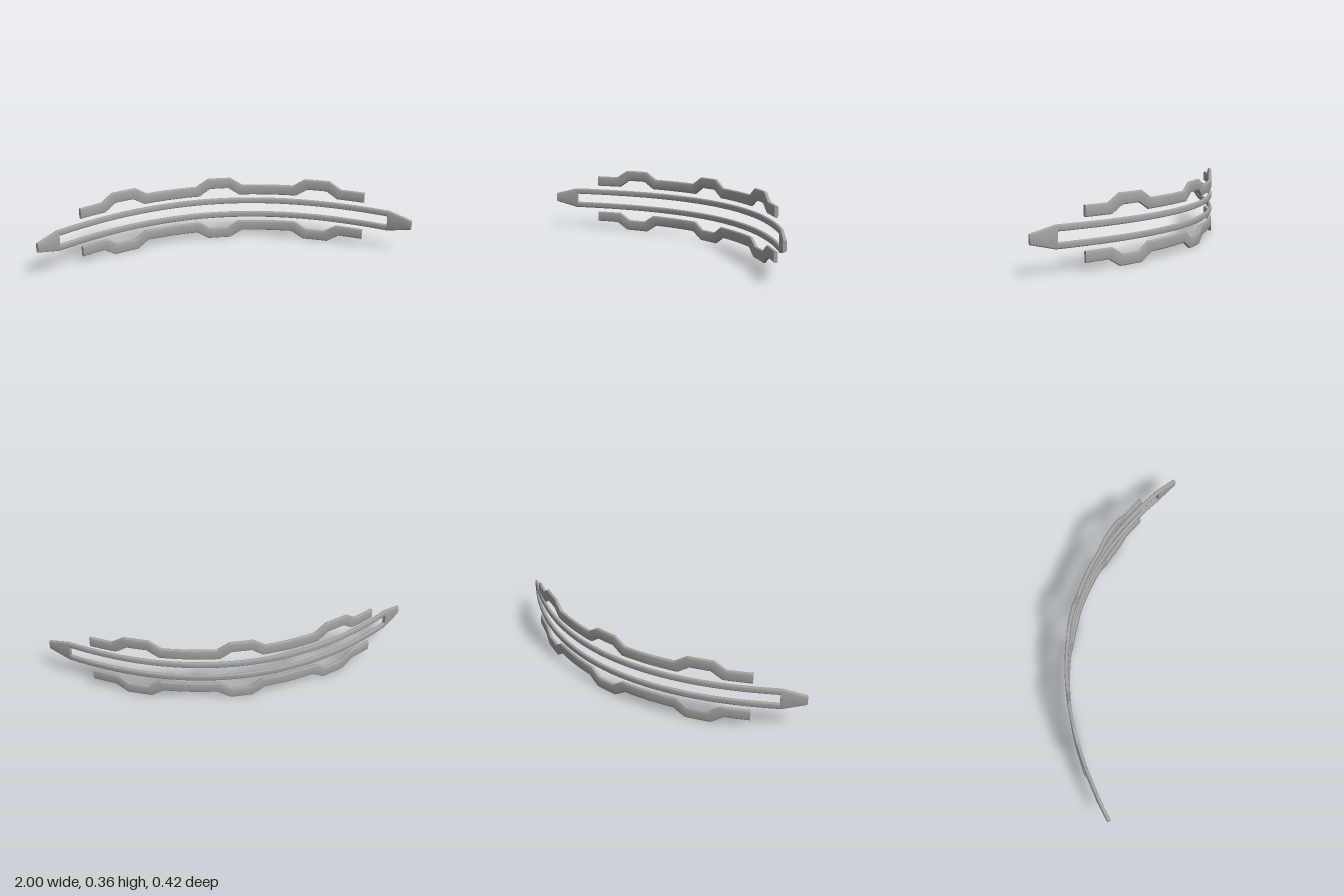
import * as THREE from 'three';
import { toCreasedNormals } from 'three/addons/utils/BufferGeometryUtils.js';

const MID = 0.18;      // height of the mirror plane
const HALF = 0.009;    // half thickness of every bar
const ROUND = 0.007;   // edge rounding

// parabolic arcs in plan: z = start + bend * x * x
const FRAME_ARC = { start: -0.2, bend: 0.407 };
const STEPPED_ARC = { start: -0.197, bend: 0.395 };

// linear interpolation through [x, y] points
function sample(points, x) {
  for (let i = 1; i < points.length; i++) {
    const [x0, y0] = points[i - 1], [x1, y1] = points[i];
    if (x <= x1) return y0 + (y1 - y0) * Math.max(0, (x - x0) / (x1 - x0));
  }
  return points[points.length - 1][1];
}

// rounded rectangle between two heights: [offset along the normal, y]
function section(low, high) {
  const pts = [];
  const corners = [[1, 1], [-1, 1], [-1, -1], [1, -1]];
  corners.forEach(([sx, sy], c) => {
    const cx = sx * (HALF - ROUND), cy = sy > 0 ? high - ROUND : low + ROUND;
    for (let k = 0; k <= 3; k++) {
      const a = (c + k / 3) * Math.PI / 2;
      pts.push([cx + ROUND * Math.cos(a), cy + ROUND * Math.sin(a)]);
    }
  });
  return pts;
}

// sweep the section along the arc, between a lower and an upper edge line
function bowedBar(name, arc, lower, upper, material) {
  const from = lower[0][0], to = lower[lower.length - 1][0];
  const steps = Math.max(2, Math.ceil((to - from) / 0.04));
  const xs = [...lower, ...upper].map((p) => p[0]);
  for (let i = 0; i <= steps; i++) xs.push(from + (to - from) * i / steps);
  xs.sort((a, b) => a - b);
  const stations = xs.filter((x, i) => i === 0 || x - xs[i - 1] > 1e-5);

  const pos = [], index = [], n = 16;
  for (const x of stations) {
    const slope = 2 * arc.bend * x, len = Math.hypot(1, slope);
    const z = arc.start + arc.bend * x * x;
    for (const [o, y] of section(sample(lower, x), sample(upper, x))) {
      pos.push(x - o * slope / len, y, z + o / len);
    }
  }
  for (let s = 0; s < stations.length - 1; s++) {
    for (let j = 0; j < n; j++) {
      const a = s * n + j, b = s * n + (j + 1) % n;
      index.push(a, a + n, b, b, a + n, b + n);
    }
  }
  // end caps
  const last = (stations.length - 1) * n;
  for (let j = 1; j < n - 1; j++) {
    index.push(0, j, j + 1, last, last + j + 1, last + j);
  }
  const geo = new THREE.BufferGeometry();
  geo.setAttribute('position', new THREE.Float32BufferAttribute(pos, 3));
  geo.setIndex(index);
  const mesh = new THREE.Mesh(toCreasedNormals(geo, 0.55), material);
  mesh.name = name;
  return mesh;
}

// reflect an edge line in the mirror plane or across x = 0
const flipY = (pts) => pts.map(([x, y]) => [x, 2 * MID - y]);
const flipX = (pts) => pts.map(([x, y]) => [-x, y]).reverse();

// edge line with three raised steps
function steppedEdge(base, rise, inset) {
  const half = [
    [0.063 - inset * 0.6, base + rise], [0.13 - inset, base],
    [0.41 + inset, base], [0.473 + inset * 0.8, base + rise],
    [0.60 - inset * 0.8, base + rise], [0.66 - inset, base], [0.773, base],
  ];
  return [...flipX(half), ...half];
}

export function createModel() {
  const group = new THREE.Group();
  const metal = new THREE.MeshStandardMaterial({ color: 0xa3a3a3 });
  metal.name = 'grey metal';

  // slotted centre frame: two rails joined by tapered tips
  const frame = new THREE.Group();
  frame.name = 'centreFrame';
  const END = 0.887, TIP = 0.994;
  const railLow = [[-END, 0.205], [END, 0.205]];
  const railHigh = [[-END, 0.238], [END, 0.238]];
  const tipTop = [[END, 0.238], [0.893, 0.238], [TIP, 0.206]];
  frame.add(
    bowedBar('upperRail', FRAME_ARC, railLow, railHigh, metal),
    bowedBar('lowerRail', FRAME_ARC, flipY(railHigh), flipY(railLow), metal),
    bowedBar('leftTip', FRAME_ARC, flipY(tipTop), tipTop, metal),
    bowedBar('rightTip', FRAME_ARC, flipX(flipY(tipTop)), flipX(tipTop), metal),
  );
  group.add(frame);

  // stepped bars above and below the frame
  const low = steppedEdge(0.26, 0.04, 0.018);
  const high = steppedEdge(0.318, 0.042, 0);
  group.add(
    bowedBar('upperSteppedBar', STEPPED_ARC, low, high, metal),
    bowedBar('lowerSteppedBar', STEPPED_ARC, flipY(high), flipY(low), metal),
  );
  return group;
}
